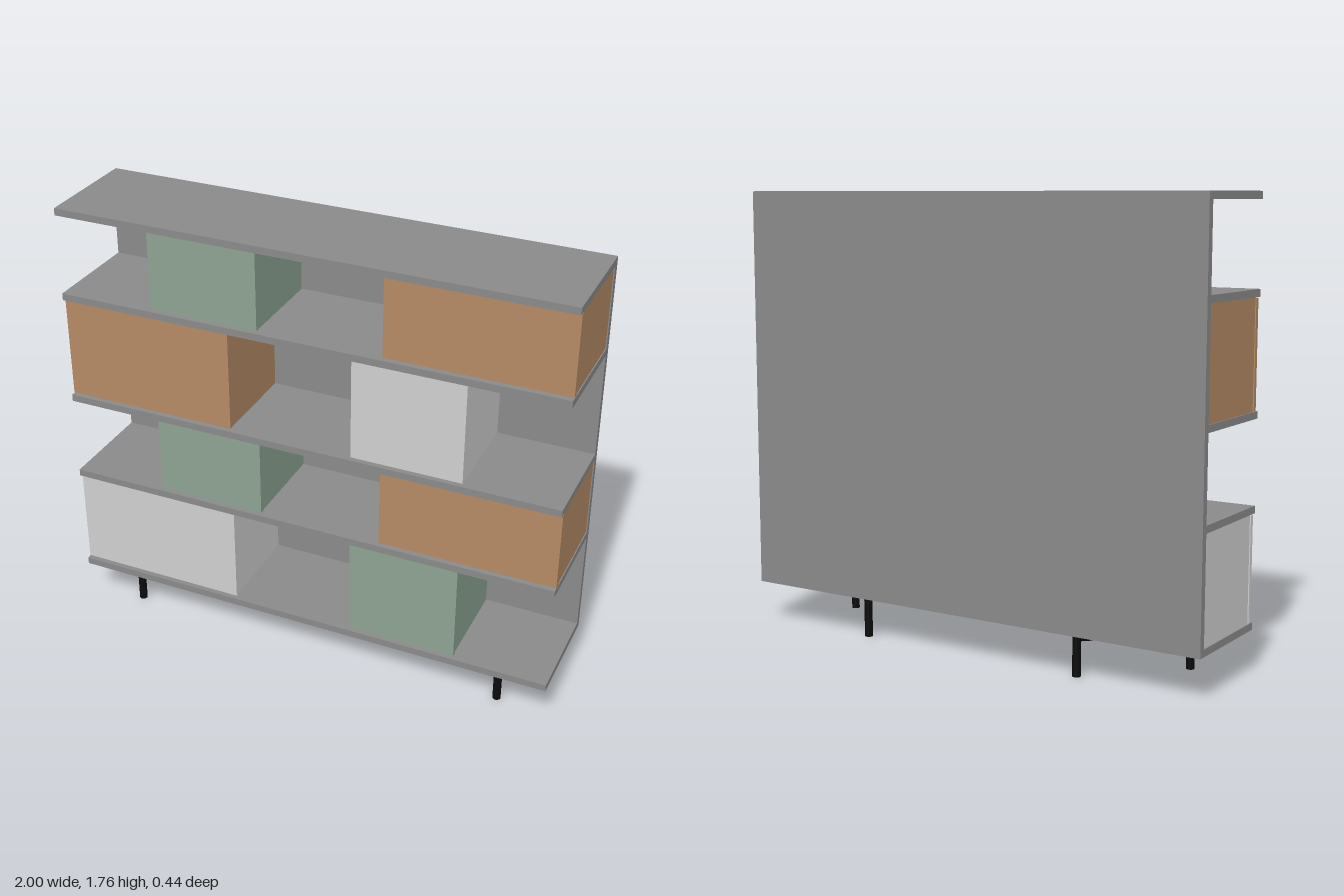
import * as THREE from 'three';

const mat = (name, color) => {
  const m = new THREE.MeshStandardMaterial({ color });
  m.name = name;
  return m;
};

export function createModel() {
  const model = new THREE.Group();
  model.name = 'shelvingUnit';

  const grey = mat('grey lacquer', 0x8a8a8a);
  const brown = mat('warm wood', 0xb48a64);
  const green = mat('sage green', 0x8ca391);
  const white = mat('pale grey', 0xcfcfcf);
  const black = mat('black metal', 0x0b0b0b);

  // Box given by its minimum and maximum corners
  const box = (name, [x0, y0, z0], [x1, y1, z1], material, parent = model) => {
    const mesh = new THREE.Mesh(new THREE.BoxGeometry(x1 - x0, y1 - y0, z1 - z0), material);
    mesh.position.set((x0 + x1) / 2, (y0 + y1) / 2, (z0 + z1) / 2);
    mesh.name = name;
    parent.add(mesh);
  };

  // Back panel and the five shelves
  const shelfBottoms = [0.164, 0.602, 0.951, 1.391, 1.737];
  const thick = 0.028;
  const top = shelfBottoms[4] + thick;
  box('backPanel', [-1, shelfBottoms[0], -0.22], [1, top, -0.192], grey);
  for (const y of shelfBottoms) box('shelf', [-1, y, -0.192], [1, y + thick, 0.22], grey);

  // Cupboards: two side panels behind a slightly wider door
  const cupboard = (row, x0, x1, material) => {
    const group = new THREE.Group();
    group.name = 'cupboard';
    const y0 = shelfBottoms[row] + thick;
    const y1 = shelfBottoms[row + 1];
    const inset = 0.004;
    const wall = 0.018;
    box('sidePanel', [x0 + inset, y0, -0.192], [x0 + inset + wall, y1, 0.185], material, group);
    box('sidePanel', [x1 - inset - wall, y0, -0.192], [x1 - inset, y1, 0.185], material, group);
    box('door', [x0, y0 + 0.003, 0.185], [x1, y1 - 0.003, 0.203], material, group);
    model.add(group);
  };
  cupboard(0, -1, -0.308, white);
  cupboard(0, 0.187, 0.624, green);
  cupboard(1, -0.624, -0.187, green);
  cupboard(1, 0.305, 1, brown);
  cupboard(2, -1, -0.308, brown);
  cupboard(2, 0.187, 0.624, white);
  cupboard(3, -0.624, -0.187, green);
  cupboard(3, 0.305, 1, brown);

  // Metal base: round bars between two points
  const base = new THREE.Group();
  base.name = 'base';
  model.add(base);
  const r = 0.016;
  const bar = (name, a, b) => {
    const from = new THREE.Vector3(...a);
    const to = new THREE.Vector3(...b);
    const dir = to.clone().sub(from);
    const mesh = new THREE.Mesh(new THREE.CylinderGeometry(r, r, dir.length(), 20), black);
    mesh.position.copy(from).add(to).multiplyScalar(0.5);
    mesh.quaternion.setFromUnitVectors(new THREE.Vector3(0, 1, 0), dir.normalize());
    mesh.name = name;
    base.add(mesh);
  };
  const barY = 0.164 - r;
  for (const s of [-1, 1]) {
    // Front legs stand wide, back legs closer in, joined by a diagonal
    bar('frontLeg', [s * 0.79, 0, 0.142], [s * 0.79, 0.164, 0.142]);
    bar('backLeg', [s * 0.48, 0, -0.17], [s * 0.48, 0.164, -0.17]);
    bar('diagonalBar', [s * 0.79, barY, 0.142], [s * 0.48, barY, -0.17]);
  }
  bar('crossBar', [-0.635, barY, -0.014], [0.635, barY, -0.014]);

  return model;
}
